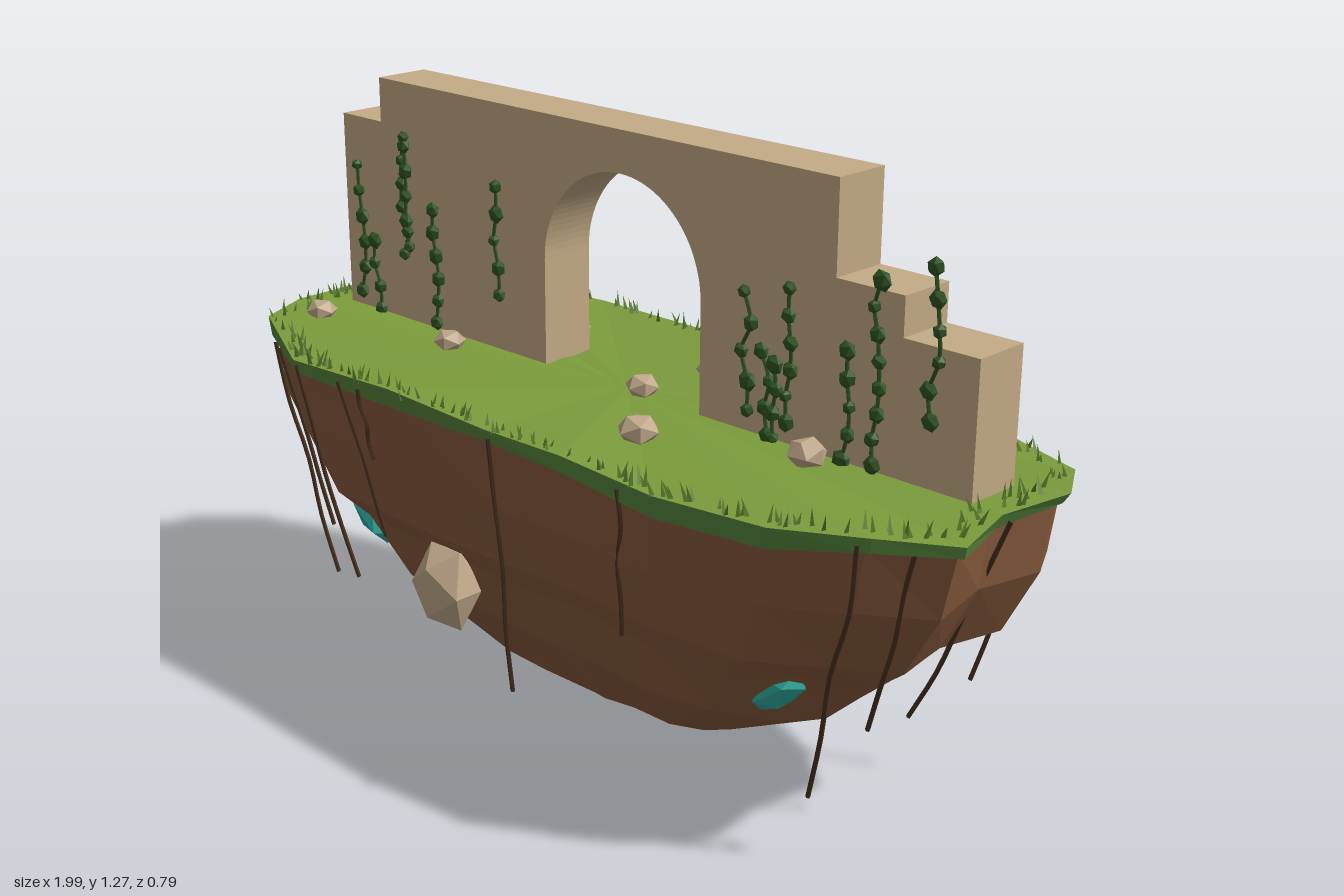
import * as THREE from 'three';
import { mergeGeometries } from 'three/addons/utils/BufferGeometryUtils.js';

const mat = (name, color, flatShading = true) => {
  const m = new THREE.MeshStandardMaterial({ color, flatShading });
  m.name = name;
  return m;
};

// Island outline as [x, z], running from +x towards +z
const OUTLINE = [
  [0.96, 0.02], [0.99, 0.165], [0.86, 0.265], [0.7, 0.36], [0.45, 0.39], [0.2, 0.385], [-0.02, 0.38],
  [-0.32, 0.38], [-0.65, 0.375], [-0.91, 0.25], [-0.98, 0.11], [-1, 0], [-0.97, -0.15], [-0.87, -0.26],
  [-0.68, -0.345], [-0.47, -0.395], [-0.15, -0.39], [0.2, -0.387], [0.45, -0.38], [0.7, -0.35],
  [0.94, -0.24], [0.985, -0.16],
];
const N = OUTLINE.length;

export function createModel() {
  const model = new THREE.Group();
  model.name = 'floatingIsland';
  let seed = 11;
  const rand = (a = 0, b = 1) => {
    seed = (seed * 16807) % 2147483647;
    return a + (b - a) * (seed / 2147483647);
  };

  const M = {
    turf: mat('turf green', 0x7c9c3c),
    rim: mat('turf edge green', 0x55843c),
    blade: mat('grass blade green', 0x5a7f2a),
    earth: mat('earth brown', 0x87593c),
    stone: mat('ruin sandstone', 0xc4ab86),
    rock: mat('pale rock', 0xc0a88a),
    crystal: mat('teal crystal', 0x2fa99f),
    root: mat('root brown', 0x46301f),
    leaf: mat('ivy green', 0x2f5423),
  };
  const add = (name, geometry, material, parent = model) => {
    const mesh = new THREE.Mesh(geometry, material);
    mesh.name = name;
    parent.add(mesh);
    return mesh;
  };
  const group = (name) => {
    const g = new THREE.Group();
    g.name = name;
    model.add(g);
    return g;
  };

  // Faceted skin between rings listed from top to bottom
  const loft = (rings) => {
    const pos = [];
    for (let r = 0; r + 1 < rings.length; r++) {
      for (let i = 0; i < N; i++) {
        const j = (i + 1) % N;
        const [a, b, c, d] = [rings[r][i], rings[r][j], rings[r + 1][j], rings[r + 1][i]];
        pos.push(...a, ...b, ...d, ...b, ...c, ...d);
      }
    }
    const g = new THREE.BufferGeometry();
    g.setAttribute('position', new THREE.Float32BufferAttribute(pos, 3));
    g.computeVertexNormals();
    return g;
  };
  const ring = (y, f, jy = 0, jf = 0) => OUTLINE.map(([x, z]) => {
    const k = f + rand(-jf, jf);
    return [x * k, y + rand(-jy, jy), z * k];
  });
  const point = (y) => OUTLINE.map(() => [0, y, 0]);

  // Turf and its darker overhanging edge
  const turfRing = ring(0.727, 1, 0.011);
  const edgeRing = ring(0.688, 0.99, 0.012, 0.006);
  add('turfTop', loft([point(0.722), turfRing]), M.turf);
  add('turfEdge', loft([turfRing, edgeRing]), M.rim);

  // Stepped earth body narrowing to the base
  add('earthBody', loft([
    edgeRing.map(([x, y, z]) => [x * 0.985, y + 0.004, z * 0.985]),
    ring(0.56, 0.945, 0.012, 0.012),
    ring(0.42, 0.87, 0.01, 0.018),
    ring(0.36, 0.78, 0.01, 0.015),
    ring(0.23, 0.665, 0.008, 0.012),
    ring(0.08, 0.365, 0.006, 0.01),
    ring(0.006, 0.1, 0.004, 0.01),
    point(0),
  ]), M.earth);

  // Ruined wall with stepped top and arched opening
  const wall = new THREE.Shape();
  wall.moveTo(-0.9, 0.71);
  [[-0.9, 1.17], [-0.765, 1.17], [-0.765, 1.27], [0.56, 1.27], [0.56, 1.08], [0.72, 1.08],
    [0.72, 1], [0.89, 1], [0.89, 0.71], [0.22, 0.71], [0.22, 0.955]].forEach((p) => wall.lineTo(...p));
  wall.absarc(-0.005, 0.955, 0.225, 0, Math.PI, false);
  wall.lineTo(-0.23, 0.71);
  const wallGeo = new THREE.ExtrudeGeometry(wall, { depth: 0.13, bevelEnabled: false, curveSegments: 24 });
  add('ruinedArchWall', wallGeo.translate(0, 0, -0.115), M.stone);

  // Irregular stones
  const stones = group('stones');
  const stone = (name, x, y, z, sx, sy, sz) => {
    const s = add(name, new THREE.IcosahedronGeometry(1, 0), M.rock, stones);
    s.position.set(x, y, z);
    s.scale.set(sx, sy, sz);
    return s;
  };
  [[-0.46, -0.25], [-0.69, -0.16], [-0.33, -0.165], [0.085, -0.185], [0.05, 0.005],
    [-0.46, 0.09], [-0.84, 0.15], [0.225, 0.195], [0.54, 0.06]].forEach(([x, z]) => {
    const r = rand(0.036, 0.045);
    stone('groundStone', x, 0.74, z, r, r * 0.75, r).rotation.y = rand(0, 6);
  });
  stone('largeEmbeddedStone', -0.205, 0.31, 0.335, 0.085, 0.105, 0.065);
  stone('embeddedStone', 0.43, 0.35, -0.275, 0.04, 0.045, 0.04);
  stone('embeddedStone', -0.2, 0.34, -0.285, 0.055, 0.055, 0.045);
  stone('embeddedStone', -0.6, 0.37, -0.27, 0.04, 0.035, 0.04);

  // Slanted crystals, one on each side
  for (const s of [-1, 1]) {
    const c = add(s < 0 ? 'rightCrystal' : 'leftCrystal', new THREE.IcosahedronGeometry(1, 0), M.crystal);
    c.position.set(s * 0.608, 0.315, 0.205);
    c.scale.set(0.036, 0.083, 0.038);
    c.rotation.z = -s * 0.92;
  }

  // Roots: start [x, z], lowest height, inward factor at the tip
  const roots = group('roots');
  [[-0.8, 0.31, 0.17, 0.85], [-0.76, 0.33, 0.3, 0.86], [-0.64, 0.376, 0.22, 0.84], [-0.48, 0.378, 0.36, 0.87],
    [-0.42, 0.378, 0.55, 0.95], [-0.01, 0.38, 0.13, 0.86], [0.36, 0.385, 0.38, 0.88],
    [0.84, 0.275, 0.14, 0.85], [0.92, 0.21, 0.3, 0.88], [0.96, 0.0, 0.24, 0.8],
    [0.88, -0.27, 0.23, 0.84], [0.6, -0.365, 0.33, 0.88], [0.25, -0.386, 0.4, 0.9], [-0.1, -0.39, 0.56, 0.96],
    [-0.45, -0.39, 0.24, 0.82], [-0.85, -0.27, 0.3, 0.9], [-0.96, -0.15, 0.4, 0.88]].forEach(([x, z, y, f]) => {
    const pts = [0, 0.25, 0.5, 0.75, 1].map((t) => {
      const k = 1.005 + (f - 1.005) * t;
      return new THREE.Vector3(x * k + rand(-0.008, 0.008), 0.71 + (y - 0.71) * t, z * k);
    });
    const g = new THREE.TubeGeometry(new THREE.CatmullRomCurve3(pts), 12, 0.005, 5);
    add('root', g, M.root, roots);
  });

  // Ivy strands with leaf clumps on the wall front: x, bottom, top
  const ivy = group('ivy');
  [[-0.84, 0.76, 1.06], [-0.79, 0.73, 0.89], [-0.685, 0.88, 1.15], [-0.67, 0.9, 1.13], [-0.58, 0.74, 1.0],
    [-0.375, 0.85, 1.09], [0.35, 0.77, 1.01], [0.4, 0.73, 0.9], [0.425, 0.73, 0.88], [0.45, 0.77, 1.04],
    [0.6, 0.73, 0.95], [0.67, 0.74, 1.1], [0.8, 0.86, 1.15]].forEach(([x, y0, y1]) => {
    const n = Math.max(3, Math.round((y1 - y0) / 0.055));
    const pts = [];
    const parts = [];
    for (let i = 0; i <= n; i++) {
      const p = new THREE.Vector3(x + rand(-0.013, 0.013), y0 + ((y1 - y0) * i) / n, 0.024);
      pts.push(p);
      const r = rand(0.012, 0.021);
      parts.push(new THREE.IcosahedronGeometry(1, 0).scale(r, r * 1.1, 0.014)
        .rotateZ(rand(-1, 1)).translate(p.x, p.y, p.z));
    }
    add('ivyLeaves', mergeGeometries(parts), M.leaf, ivy);
    add('ivyStem', new THREE.TubeGeometry(new THREE.CatmullRomCurve3(pts), 16, 0.004, 5), M.leaf, ivy);
  });

  // Grass blades scattered along the turf edge
  const blades = [];
  for (let i = 0; i < N; i++) {
    const [ax, az] = OUTLINE[i];
    const [bx, bz] = OUTLINE[(i + 1) % N];
    const count = Math.ceil(Math.hypot(bx - ax, bz - az) / 0.018);
    for (let k = 0; k < count; k++) {
      const t = rand();
      const f = rand(0.935, 0.99);
      const h = rand(0.022, 0.048);
      blades.push(new THREE.ConeGeometry(0.006, h, 3).translate(0, h / 2, 0)
        .rotateX(rand(-0.35, 0.35)).rotateZ(rand(-0.45, 0.45))
        .translate((ax + (bx - ax) * t) * f, 0.72, (az + (bz - az) * t) * f));
    }
  }
  add('grassBlades', mergeGeometries(blades), M.blade);

  return model;
}
